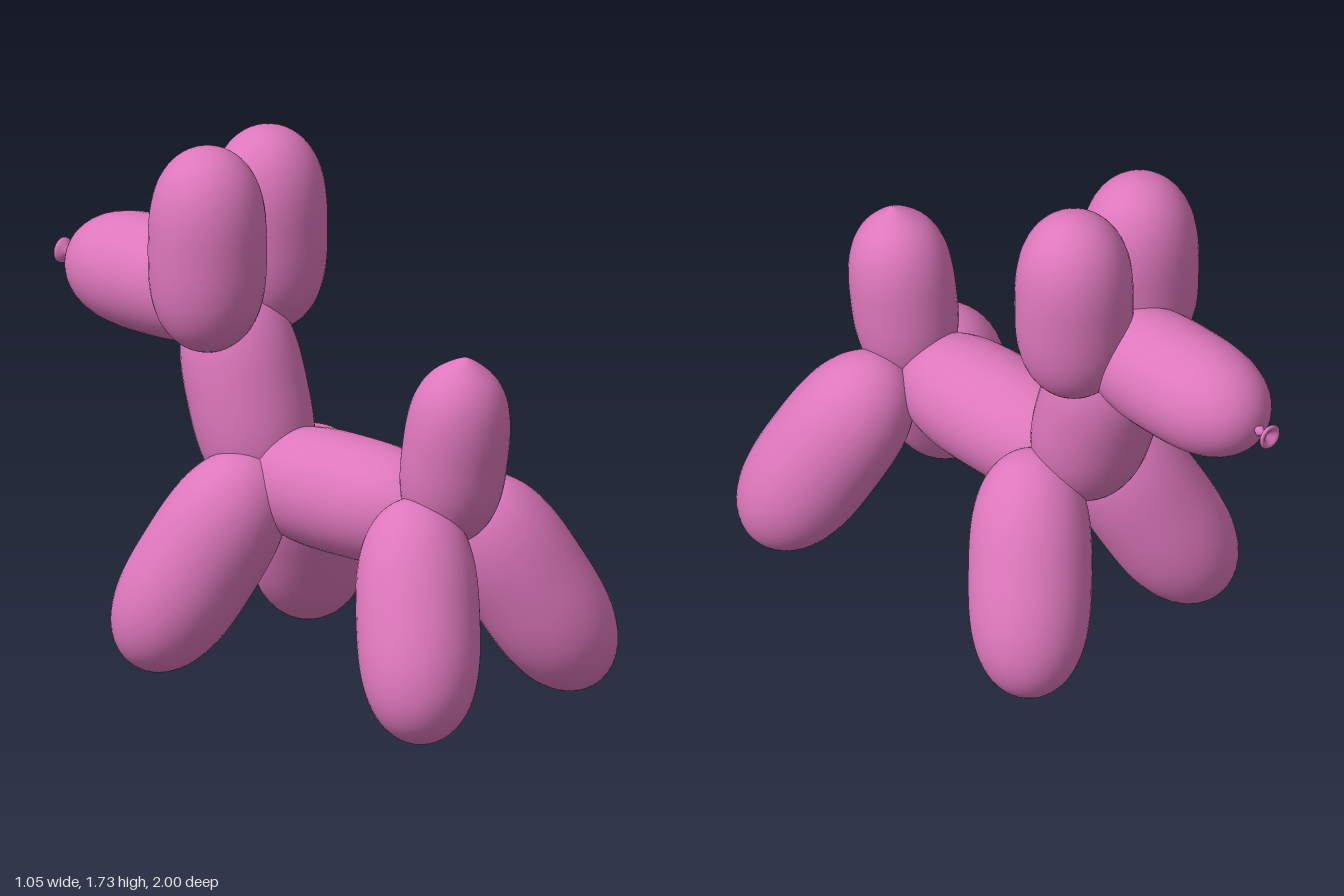
import * as THREE from 'three';

const material = new THREE.MeshStandardMaterial({ color: 0xdd77bb, side: THREE.DoubleSide });
const UP = new THREE.Vector3(0, 1, 0);

// One balloon segment: a full, rounded sausage about its centre, pointing along dir.
// nub is the height of a small point on its far end.
function balloon(name, center, dir, halfLength, radius, nub = 0) {
  const points = [];
  const steps = 40;
  for (let i = 0; i <= steps; i++) {
    const t = -Math.cos((Math.PI * i) / steps);
    const r = Math.sqrt(Math.max(0, 1 - Math.abs(t) ** 2.9));
    const pinch = t > 0 ? nub * Math.max(0, 1 - r / 0.5) ** 1.5 : 0;
    points.push(new THREE.Vector2(r * radius, t * halfLength + pinch));
  }
  const mesh = new THREE.Mesh(new THREE.LatheGeometry(points, 40), material);
  mesh.name = name;
  mesh.position.set(...center);
  mesh.quaternion.setFromUnitVectors(UP, new THREE.Vector3(...dir).normalize());
  return mesh;
}

// Tied end of the balloon: thin stem, small bead and a flared lip
function makeKnot() {
  const profile = [
    [0.022, -0.02], [0.012, 0.005], [0.016, 0.012], [0.019, 0.018], [0.012, 0.026],
    [0.011, 0.032], [0.022, 0.044], [0.037, 0.054], [0.042, 0.060], [0.042, 0.066],
    [0.037, 0.070], [0.026, 0.066], [0.012, 0.052], [0, 0.046],
  ].map(([r, y]) => new THREE.Vector2(r, y));
  const knot = new THREE.Mesh(new THREE.LatheGeometry(profile, 20), material);
  knot.name = 'knot';
  knot.position.set(-0.02, 1.185, -0.93);
  knot.rotation.x = -Math.PI / 2;
  return knot;
}

export function createModel() {
  const model = new THREE.Group();
  model.name = 'balloonDog';

  // Trunk, neck, snout and tail
  model.add(
    balloon('body', [-0.025, 0.625, 0.24], [0, 0, 1], 0.41, 0.197),
    balloon('neck', [-0.025, 0.88, -0.2], [0, 0.96, -0.275], 0.37, 0.197),
    balloon('snout', [-0.022, 1.188, -0.575], [0, 0, -1], 0.36, 0.192),
    balloon('tail', [-0.027, 0.87, 0.69], [0.02, 1, 0.13], 0.31, 0.172, 0.022),
    makeKnot(),
  );

  for (const [side, s] of [['left', 1], ['right', -1]]) {
    // Ears stand upright, pressed together
    model.add(balloon(side + 'Ear', [-0.03 + s * 0.148, 1.393, -0.237], [0, 1, 0], 0.343, 0.192));
    // Legs splay outwards to the corners
    model.add(balloon(side + 'TailLeg', [s * 0.27, 0.371, 0.745], [s * 0.37, -0.852, 0.37], 0.405, 0.2));
    model.add(balloon(side + 'HeadLeg', [s * 0.27, 0.371, -0.19], [s * 0.37, -0.852, -0.36], 0.405, 0.2));
  }
  return model;
}
